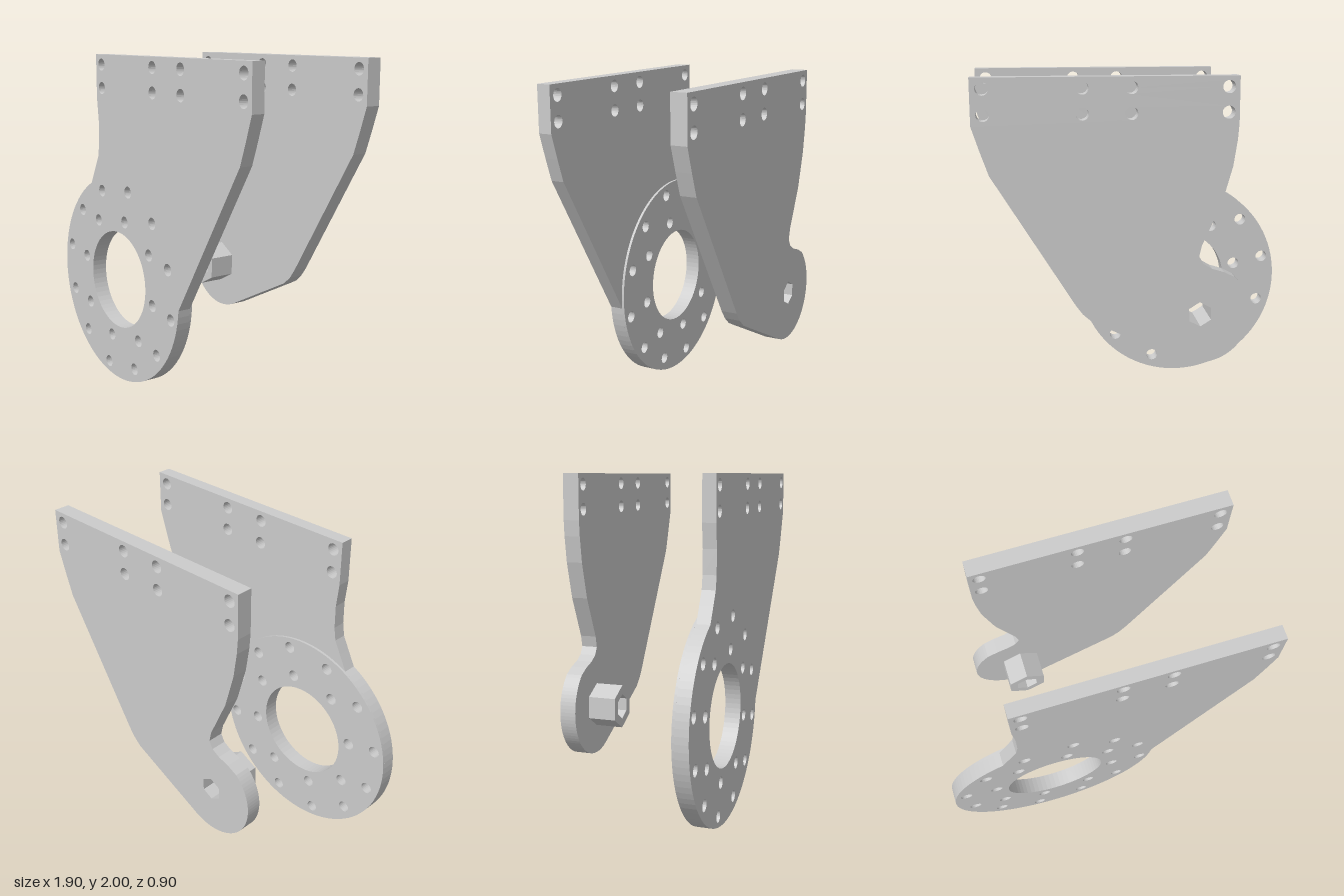
import * as THREE from 'three';

const CX = -0.315, CY = 0.64; // shared pivot axis
const rad = THREE.MathUtils.degToRad;

// Points on an arc, angles in degrees
function arc(x, y, r, a0, a1, n) {
  return Array.from({ length: n + 1 }, (_, i) => {
    const a = rad(a0 + (a1 - a0) * i / n);
    return new THREE.Vector2(x + r * Math.cos(a), y + r * Math.sin(a));
  });
}
const ring = (x, y, r, n = 24, start = 0) =>
  arc(x, y, r, start, start + 360 * (n - 1) / n, n - 1);
const pts = (list) => list.map(([x, y]) => new THREE.Vector2(x, y));

// Flat plate with holes between two z values
function slab(name, outline, holes, z0, z1, material) {
  const shape = new THREE.Shape(outline);
  shape.holes = holes.map((h) => new THREE.Path(h));
  const geo = new THREE.ExtrudeGeometry(shape, { depth: z1 - z0, bevelEnabled: false });
  geo.translate(0, 0, z0);
  const mesh = new THREE.Mesh(geo, material);
  mesh.name = name;
  return mesh;
}

export function createModel() {
  const group = new THREE.Group();
  group.name = 'bracketPair';
  const grey = new THREE.MeshStandardMaterial({ color: 0xcccccc });

  // Mounting holes along the top edge of both plates
  const topHoles = [];
  for (const x of [-0.46, 0.08, 0.35, 0.885])
    for (const y of [1.94, 1.8]) topHoles.push(ring(x, y, 0.036));

  // Two bolt circles and the large bore of the round flange
  const flangeHoles = [ring(CX, CY, 0.3, 64)];
  const bolt = (r, deg) => flangeHoles.push(
    ring(CX + r * Math.cos(rad(deg)), CY + r * Math.sin(rad(deg)), 0.036));
  for (let i = 0; i < 12; i++) bolt(i % 3 === 2 ? 0.572 : 0.557, 107.5 + 30 * i);
  for (let i = 0; i < 8; i++) bolt(i % 2 ? 0.38 : 0.402, 122.5 + 45 * i);

  const rightEdge = [[-0.52, 2], [0.95, 2], [0.95, 1.74], [0.905, 1.6], [0.86, 1.47]];

  // Front plate, merging into the round flange
  const frontOutline = [
    ...pts(rightEdge),
    ...arc(CX, CY, 0.637, -4.5, -242.6, 64),
    ...pts([[-0.56, 1.3], [-0.52, 1.38], [-0.507, 1.46], [-0.505, 1.6], [-0.52, 1.74]]),
  ];
  group.add(slab('frontPlate', frontOutline, [...topHoles, ...flangeHoles], 0.37, 0.45, grey));

  // Raised pad on the inner face of the flange
  group.add(slab('flangePad', ring(CX, CY, 0.637, 96), flangeHoles, 0.355, 0.37, grey));

  // Back plate, narrowing to a rounded lug
  const hexBore = ring(CX, CY, 0.073, 6, 88);
  const backOutline = [
    ...pts(rightEdge),
    ...pts([[0.4, 0.72], [0.36, 0.665], [0.31, 0.62], [0.25, 0.59]]),
    ...arc(CX, CY, 0.294, -63.4, -227, 40),
    ...pts([[-0.45, 0.888], [-0.38, 0.91], [-0.33, 0.94], [-0.305, 0.985], [-0.32, 1.05],
      [-0.43, 1.29], [-0.49, 1.5], [-0.513, 1.65], [-0.52, 1.74]]),
  ];
  group.add(slab('backPlate', backOutline, [...topHoles, hexBore], -0.45, -0.355, grey));

  // Hollow hexagonal boss on the lug
  group.add(slab('hexBoss', ring(CX, CY, 0.127, 6, 88), [hexBore], -0.355, -0.19, grey));

  return group;
}
